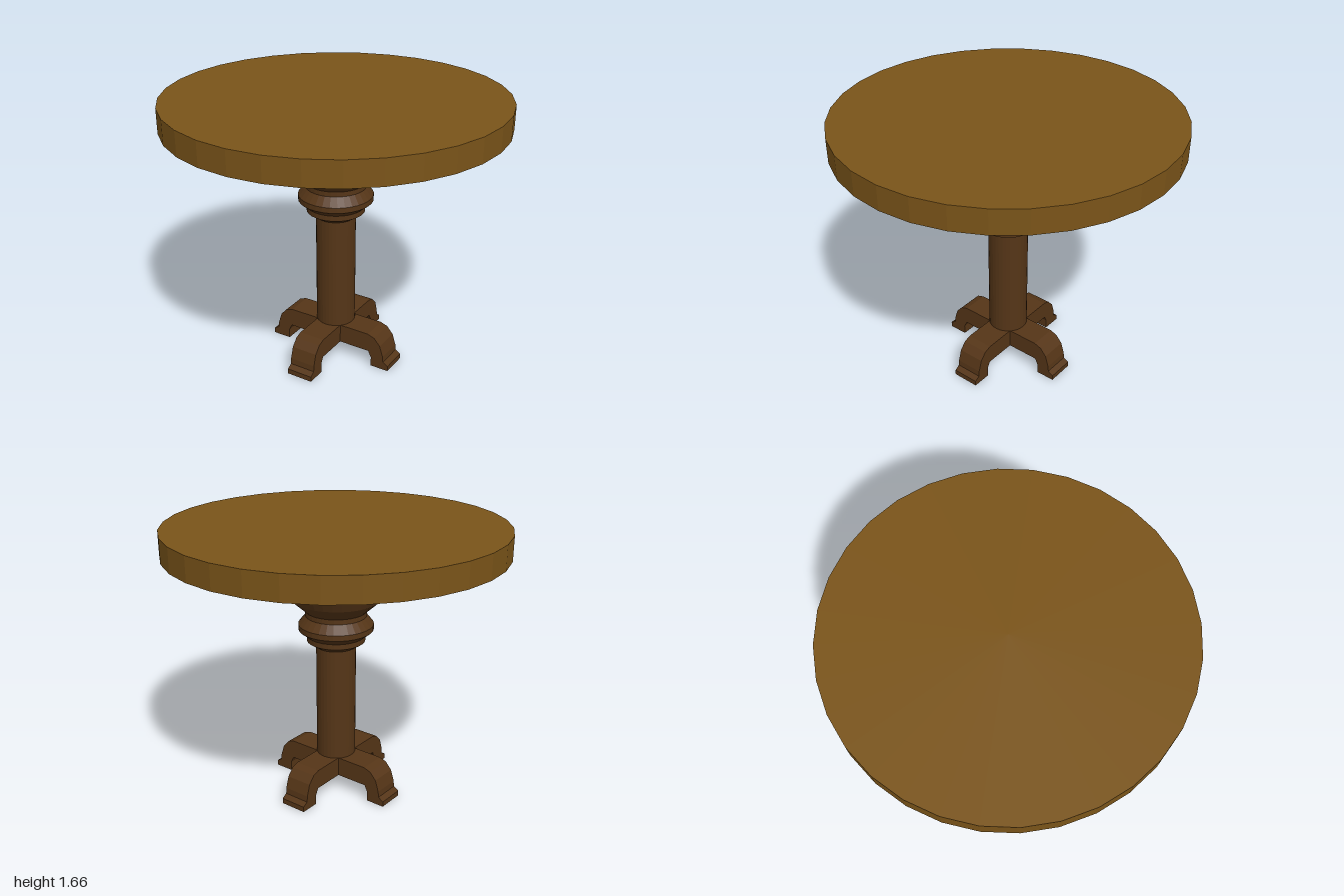
import * as THREE from 'three';

export function createModel() {
  const model = new THREE.Group();
  model.name = 'pedestalTable';
  const topWood = new THREE.MeshStandardMaterial({ color: 0x7a5419, flatShading: true });
  const darkWood = new THREE.MeshStandardMaterial({ color: 0x553517, flatShading: true });
  const SIDES = 32;

  const add = (name, geometry, material, y = 0) => {
    const mesh = new THREE.Mesh(geometry, material);
    mesh.name = name;
    mesh.position.y = y;
    model.add(mesh);
    return mesh;
  };

  // Round table top
  add('tableTop', new THREE.CylinderGeometry(1, 1, 0.145, SIDES), topWood, 1.5875);

  // Turned pedestal: shaft, collar rings and bulb, as [radius, height]
  const profile = [
    [0.12, 0.22], [0.12, 0.927], [0.175, 0.962], [0.175, 0.995],
    [0.225, 1.035], [0.225, 1.068], [0.183, 1.12], [0.183, 1.15],
    [0.267, 1.225], [0.3, 1.29], [0.3, 1.325], [0.287, 1.4], [0.257, 1.515],
  ].map(([r, y]) => new THREE.Vector2(r, y));
  add('pedestal', new THREE.LatheGeometry(profile, SIDES), darkWood);

  // Square hub joining the four feet
  const half = 0.083;
  add('footHub', new THREE.BoxGeometry(half * 2, 0.12, half * 2), darkWood, 0.16);

  // Curved feet, one side profile extruded and turned about the pedestal
  const footShape = new THREE.Shape([
    [half, 0.1], [0.285, 0.1], [0.305, 0.06], [0.305, 0], [0.423, 0],
    [0.423, 0.033], [0.39, 0.053], [0.387, 0.09], [0.365, 0.16],
    [0.325, 0.205], [0.28, 0.22], [half, 0.22],
  ].map(([x, y]) => new THREE.Vector2(x, y)));
  const footGeometry = new THREE.ExtrudeGeometry(footShape, { depth: half * 2, bevelEnabled: false });
  footGeometry.translate(0, 0, -half);
  ['leftFoot', 'backFoot', 'rightFoot', 'frontFoot'].forEach((name, i) => {
    add(name, footGeometry, darkWood).rotation.y = i * Math.PI / 2;
  });

  return model;
}
